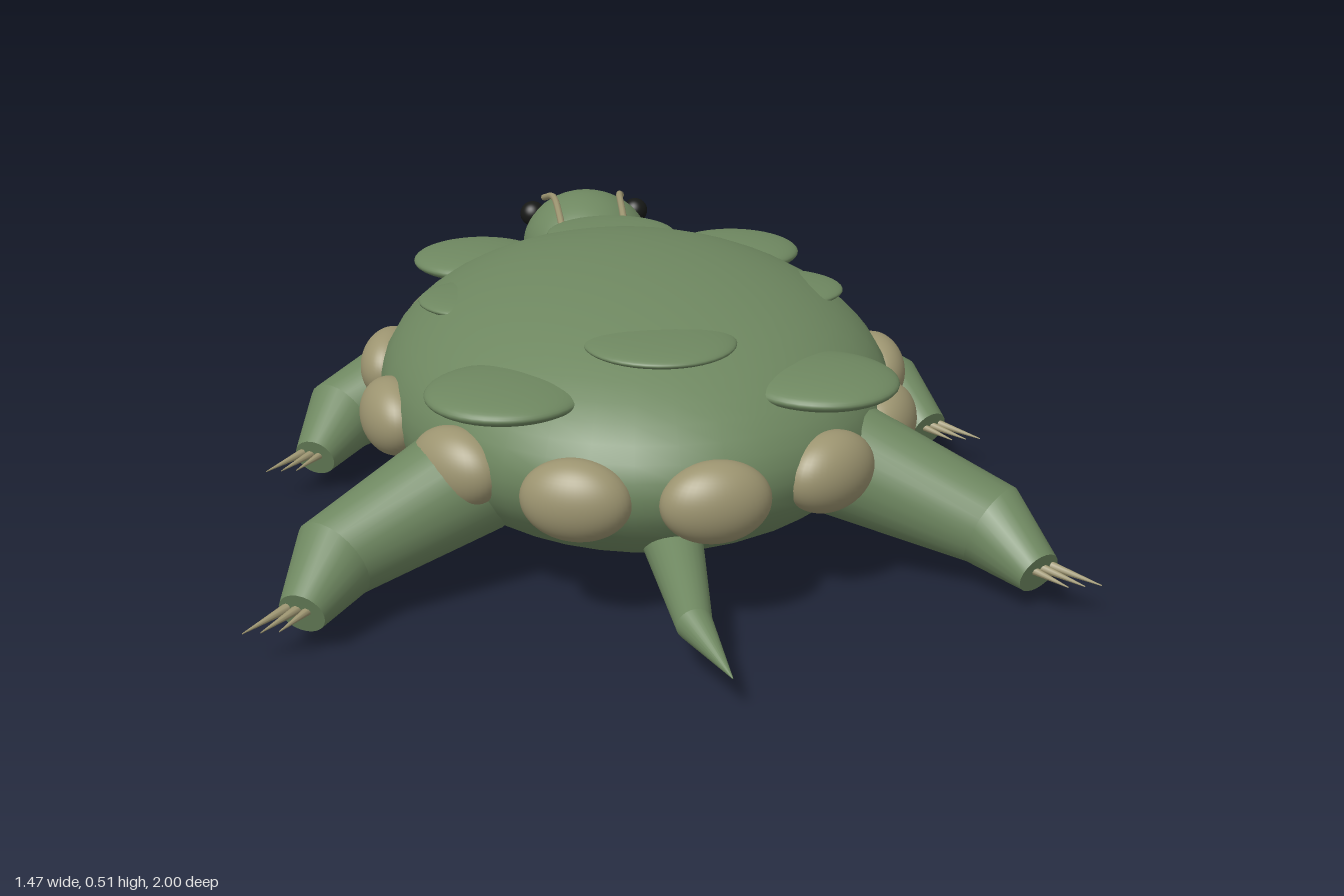
import * as THREE from 'three';
import { mergeGeometries } from 'three/addons/utils/BufferGeometryUtils.js';

const paint = (name, color) => {
  const m = new THREE.MeshStandardMaterial({ color });
  m.name = name;
  return m;
};
const V = (x, y, z) => new THREE.Vector3(x, y, z);

// Tapered round limb through the points, mitred at each joint, capped at both ends
function limbGeometry(points, radii, sides = 24) {
  const up = V(0, 1, 0);
  const makeRing = (i, radius) => {
    const p = points[i];
    const t = V(0, 0, 0);
    if (i > 0) t.add(p.clone().sub(points[i - 1]).normalize());
    if (i < points.length - 1) t.add(points[i + 1].clone().sub(p).normalize());
    t.normalize();
    const u = up.clone().cross(t).normalize();
    const v = t.clone().cross(u);
    return Array.from({ length: sides }, (_, j) => {
      const a = (j / sides) * Math.PI * 2;
      return p.clone().addScaledVector(u, radius * Math.cos(a)).addScaledVector(v, radius * Math.sin(a));
    });
  };
  const last = points.length - 1;
  const rings = [makeRing(0, 0), ...points.map((_, i) => makeRing(i, radii[i])), makeRing(last, 0)];
  const strips = [];
  for (let k = 0; k < rings.length - 1; k++) {
    const g = new THREE.BufferGeometry().setFromPoints([...rings[k], ...rings[k + 1]]);
    const index = [];
    for (let j = 0; j < sides; j++) {
      const n = (j + 1) % sides;
      index.push(j, n, sides + n, j, sides + n, sides + j);
    }
    g.setIndex(index);
    g.computeVertexNormals();
    strips.push(g);
  }
  return mergeGeometries(strips);
}

export function createModel() {
  const model = new THREE.Group();
  model.name = 'turtle';
  const green = paint('mossGreen', 0x6e8760);
  const tan = paint('tan', 0x9c9470);
  const black = paint('eyeBlack', 0x161816);

  const add = (name, geometry, material, parent = model) => {
    const mesh = new THREE.Mesh(geometry, material);
    mesh.name = name;
    parent.add(mesh);
    return mesh;
  };
  const ball = new THREE.SphereGeometry(1, 40, 28);
  const ellipsoid = (name, material, pos, size, parent) => {
    const mesh = add(name, ball, material, parent);
    mesh.position.set(...pos);
    mesh.scale.set(...size);
    return mesh;
  };

  // Body and raised shell plates
  ellipsoid('shell', green, [0, 0.257, 0.075], [0.5, 0.254, 0.645]);
  const plates = new THREE.Group();
  plates.name = 'shellPlates';
  model.add(plates);
  for (const s of [-1, 1]) {
    ellipsoid('sidePlate', green, [s * 0.28, 0.423, 0.065], [0.14, 0.02, 0.125], plates);
    for (const z of [-0.37, 0.5]) {
      ellipsoid('cornerPlate', green, [s * 0.28, 0.382, z], [0.142, 0.03, 0.145], plates);
    }
  }
  for (const z of [-0.3, 0.445]) {
    ellipsoid('middlePlate', green, [0, 0.447, z], [0.138, 0.02, 0.138], plates);
  }

  // Ring of thirteen rim knobs
  const rim = new THREE.Group();
  rim.name = 'shellRim';
  model.add(rim);
  for (let i = 0; i < 13; i++) {
    const a = (i / 13) * Math.PI * 2;
    const knob = ellipsoid('rimKnob', tan,
      [0.492 * Math.cos(a), 0.248, 0.07 + 0.645 * Math.sin(a)], [0.06, 0.073, 0.098], rim);
    knob.rotation.y = -a;
  }

  // Neck, head, eyes and head stripes
  add('neck', limbGeometry([V(0, 0.248, -0.45), V(0, 0.255, -0.74)], [0.13, 0.102], 32), green);
  ellipsoid('head', green, [0, 0.28, -0.828], [0.153, 0.131, 0.172]);
  for (const s of [-1, 1]) {
    ellipsoid('eye', black, [s * 0.126, 0.348, -0.88], [0.03, 0.03, 0.03]);
    const path = new THREE.CatmullRomCurve3([
      V(s * 0.072, 0.342, -0.61), V(s * 0.075, 0.385, -0.71),
      V(s * 0.08, 0.403, -0.82), V(s * 0.095, 0.38, -0.91),
    ]);
    add('headStripe', new THREE.TubeGeometry(path, 20, 0.008, 8), tan);
  }

  // Four bent legs with claws
  for (const s of [-1, 1]) {
    for (const [name, dz] of [['frontLeg', 0], ['backLeg', 0.71]]) {
      const leg = new THREE.Group();
      leg.name = name;
      model.add(leg);
      const joints = [V(s * 0.34, 0.21, -0.265 + dz), V(s * 0.587, 0.12, -0.13 + dz), V(s * 0.64, 0.075, -0.015 + dz)];
      add('limb', limbGeometry(joints, [0.11, 0.08, 0.042]), green, leg);
      for (let k = 0; k < 3; k++) {
        const root = V(s * (0.62 + 0.022 * k), 0.084, -0.022 + dz);
        const tip = V(s * (0.675 + 0.03 * k), 0.071, 0.04 + dz);
        add('claw', limbGeometry([root, tip], [0.009, 0.001], 8), tan, leg);
      }
    }
  }

  // Tail bending to one side
  add('tail', limbGeometry(
    [V(0, 0.15, 0.55), V(0, 0.1, 0.865), V(0.04, 0.07, 0.998)], [0.06, 0.031, 0.001]), green);

  return model;
}
